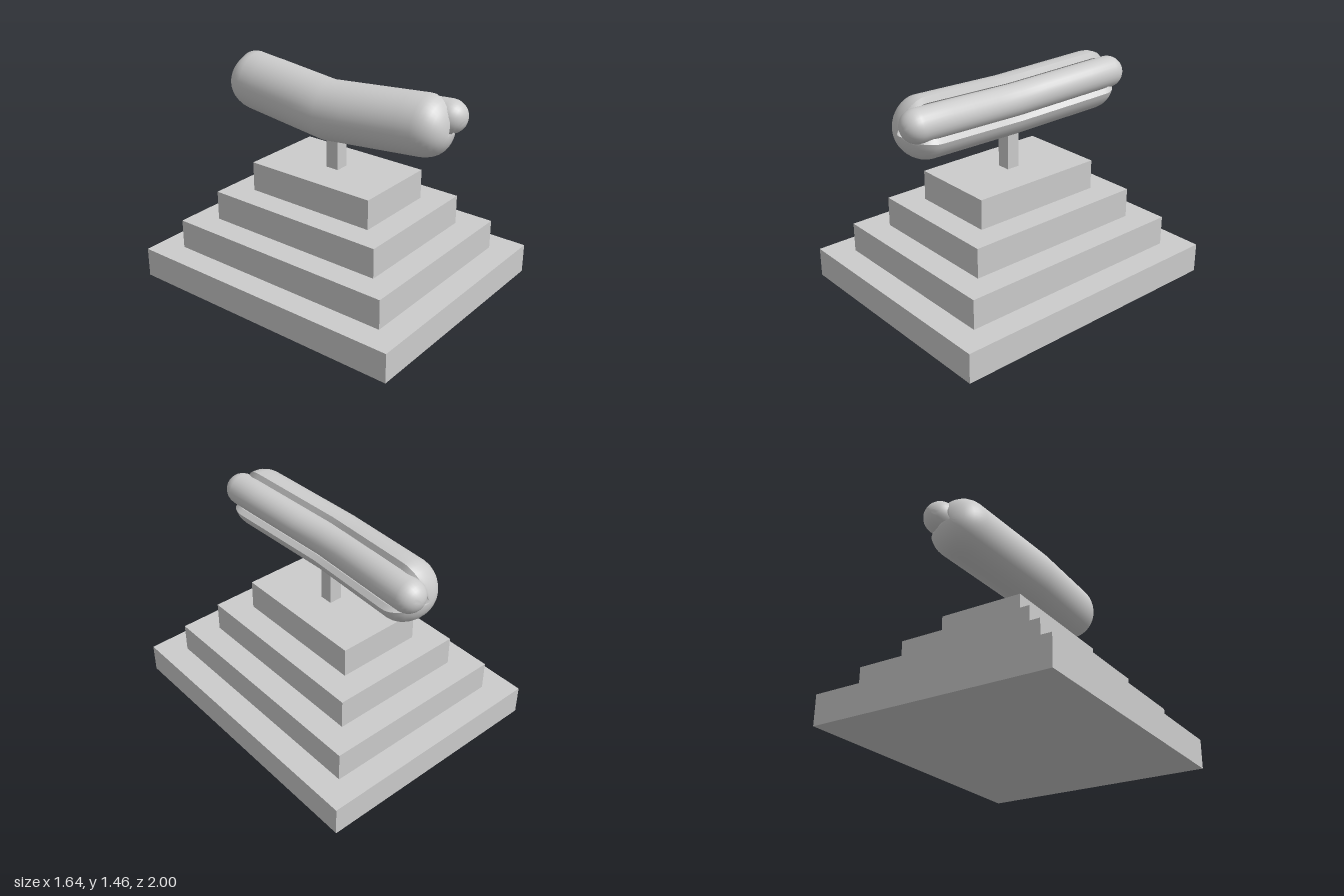
import * as THREE from 'three';
import { toCreasedNormals } from 'three/addons/utils/BufferGeometryUtils.js';

const grey = new THREE.MeshStandardMaterial({ color: 0xcccccc });

function part(name, geometry, parent) {
  const mesh = new THREE.Mesh(geometry, grey);
  mesh.name = name;
  parent.add(mesh);
  return mesh;
}

// Sideways bend shared by the bun and the sausage
const bend = z => 0.11 * Math.min(Math.abs(z), 0.74);

// Sweeps a closed counter-clockwise section along z; stations are [z, scale about pivotX]
function sweep(section, stations, pivotX) {
  const pos = [], index = [], n = section.length;
  for (const [z, s] of stations)
    for (const [x, y] of section) pos.push(pivotX + (x - pivotX) * s + bend(z), y * s, z);
  for (let i = 0; i < stations.length - 1; i++)
    for (let j = 0; j < n; j++) {
      const a = i * n + j, b = i * n + (j + 1) % n;
      index.push(a, b, a + n, b, b + n, a + n);
    }
  const g = new THREE.BufferGeometry();
  g.setAttribute('position', new THREE.Float32BufferAttribute(pos, 3));
  g.setIndex(index);
  return toCreasedNormals(g, 0.7);
}

// Points on an arc, angles in degrees
function arc(cx, r, from, to, steps) {
  return Array.from({ length: steps + 1 }, (_, i) => {
    const a = THREE.MathUtils.degToRad(from + (to - from) * i / steps);
    return [cx + r * Math.cos(a), r * Math.sin(a)];
  });
}

// Straight body with rounded ends: length is the half length, cap the depth of the rounding
function stations(length, cap) {
  const half = [];
  for (const z of [0.2, 0.4, 0.58]) half.push([z, 1]);
  for (let i = 0; i <= 8; i++) {
    const a = i / 8 * Math.PI / 2;
    half.push([length - cap + cap * Math.sin(a), Math.max(Math.cos(a), 0.001)]);
  }
  const back = half.map(([z, s]) => [-z, s]).reverse();
  return [...back, [0, 1], ...half];
}

export function createModel() {
  const model = new THREE.Group();
  model.name = 'hotDogMonument';

  // Stepped base
  const h = 0.2025;
  for (let i = 0; i < 4; i++) {
    const step = part('baseStep' + (i + 1),
      new THREE.BoxGeometry(1.64 - 0.35 * i, h, 2 - 0.35 * i), model);
    step.position.y = h * (i + 0.5);
  }

  // Post
  part('post', new THREE.BoxGeometry(0.092, 0.29, 0.092), model).position.set(-0.002, 0.945, 0);

  // Hot dog, tilted so that the bun opens up and to the side
  const hotDog = new THREE.Group();
  hotDog.name = 'hotDog';
  hotDog.position.set(-0.05, 1.22, 0);
  hotDog.rotation.z = THREE.MathUtils.degToRad(33);
  model.add(hotDog);

  // Bun: outer arc, then the pocket that holds the sausage
  const bunSection = [...arc(0, 0.2, 48, 312, 30), ...arc(0.097, 0.113, 285, 75, 18)];
  part('bun', sweep(bunSection, stations(0.855, 0.17), -0.05), hotDog);

  // Sausage
  const sausageSection = arc(0.097, 0.108, 0, 360, 28).slice(0, -1);
  part('sausage', sweep(sausageSection, stations(0.9, 0.11), 0.097), hotDog);

  return model;
}
